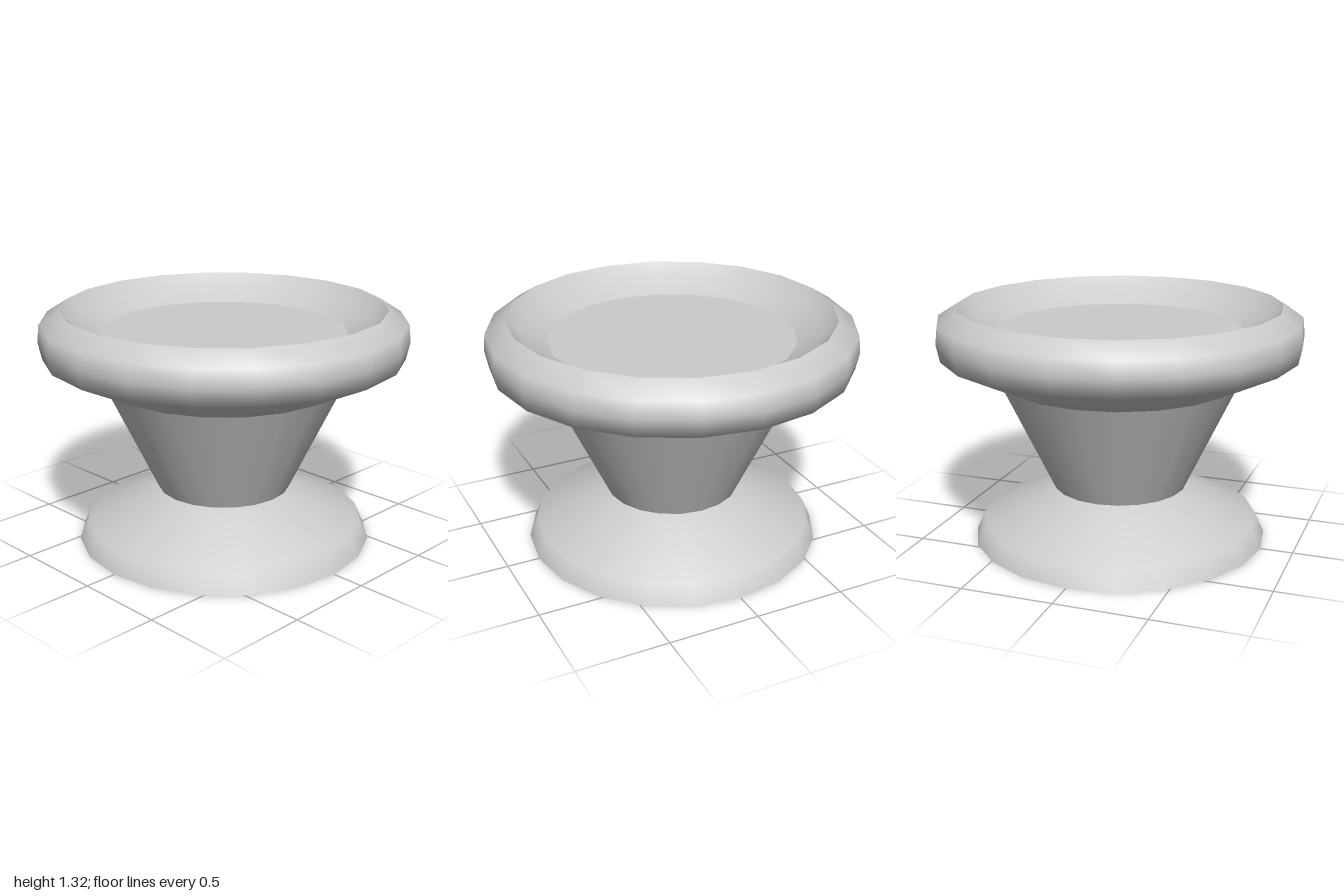
import * as THREE from 'three';

const SIDES = 20;

export function createModel() {
  const group = new THREE.Group();
  group.name = 'pedestalDish';
  const material = new THREE.MeshStandardMaterial({ color: 0xcccccc });

  // Each part is one smooth band; the joints between parts stay sharp.
  // Profiles are [radius, height], running up the outside and down the inside.
  const addTurned = (name, profile) => {
    const points = profile.map(([r, y]) => new THREE.Vector2(r, y));
    const mesh = new THREE.Mesh(new THREE.LatheGeometry(points, SIDES), material);
    mesh.name = name;
    group.add(mesh);
  };

  // Foot
  addTurned('footUnderside', [[0, 0], [0.82, 0]]);
  addTurned('foot', [[0.82, 0], [0.77, 0.11], [0.37, 0.29]]);

  // Flaring stem
  addTurned('stem', [[0.37, 0.29], [0.66, 0.9]]);

  // Dish: rounded outer wall, sloping inner wall and flat floor
  addTurned('dishOuter', [[0.66, 0.9], [0.98, 1.055], [1, 1.15], [0.99, 1.245], [0.88, 1.315]]);
  addTurned('dishInner', [[0.88, 1.315], [0.81, 1.25], [0.67, 1.18]]);
  addTurned('dishFloor', [[0.67, 1.18], [0, 1.18]]);

  return group;
}
